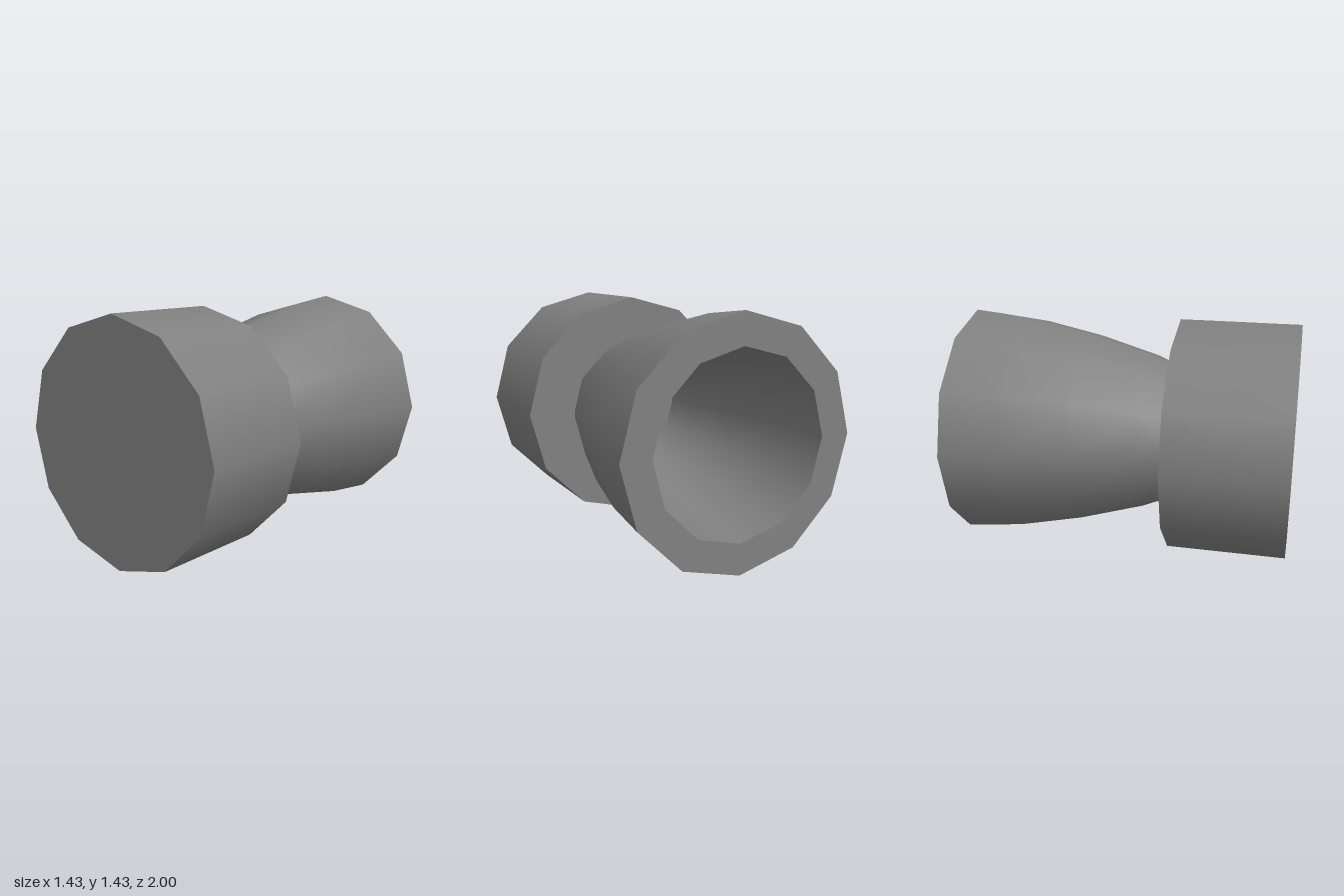
import * as THREE from 'three';

const SIDES = 12;
const RADIUS = 0.714;

export function createModel() {
  const group = new THREE.Group();
  const grey = new THREE.MeshStandardMaterial({ color: 0x808080 });
  grey.name = 'grey metal';

  function add(name, geometry) {
    geometry.rotateX(Math.PI / 2); // turn the axis from y to z
    const mesh = new THREE.Mesh(geometry, grey);
    mesh.name = name;
    mesh.position.y = RADIUS;
    group.add(mesh);
  }
  const lathe = (points) =>
    new THREE.LatheGeometry(points.map(([r, z]) => new THREE.Vector2(r, z)), SIDES);

  // Solid drum at the front
  const drum = new THREE.CylinderGeometry(RADIUS, RADIUS, 0.71, SIDES);
  drum.translate(0, 0.645, 0);
  add('engineDrum', drum);

  // Flared bell opening to the back: radius, z
  const outer = [[RADIUS, -1], [0.675, -0.65], [0.595, -0.27], [0.485, 0.11], [0.412, 0.29]];
  const inner = outer.map(([r, z]) => [r * 0.745, z]);
  add('bellOutside', lathe(outer));
  add('bellInside', lathe([...inner].reverse()));
  add('bellRim', lathe([inner[0], outer[0]]));

  return group;
}
